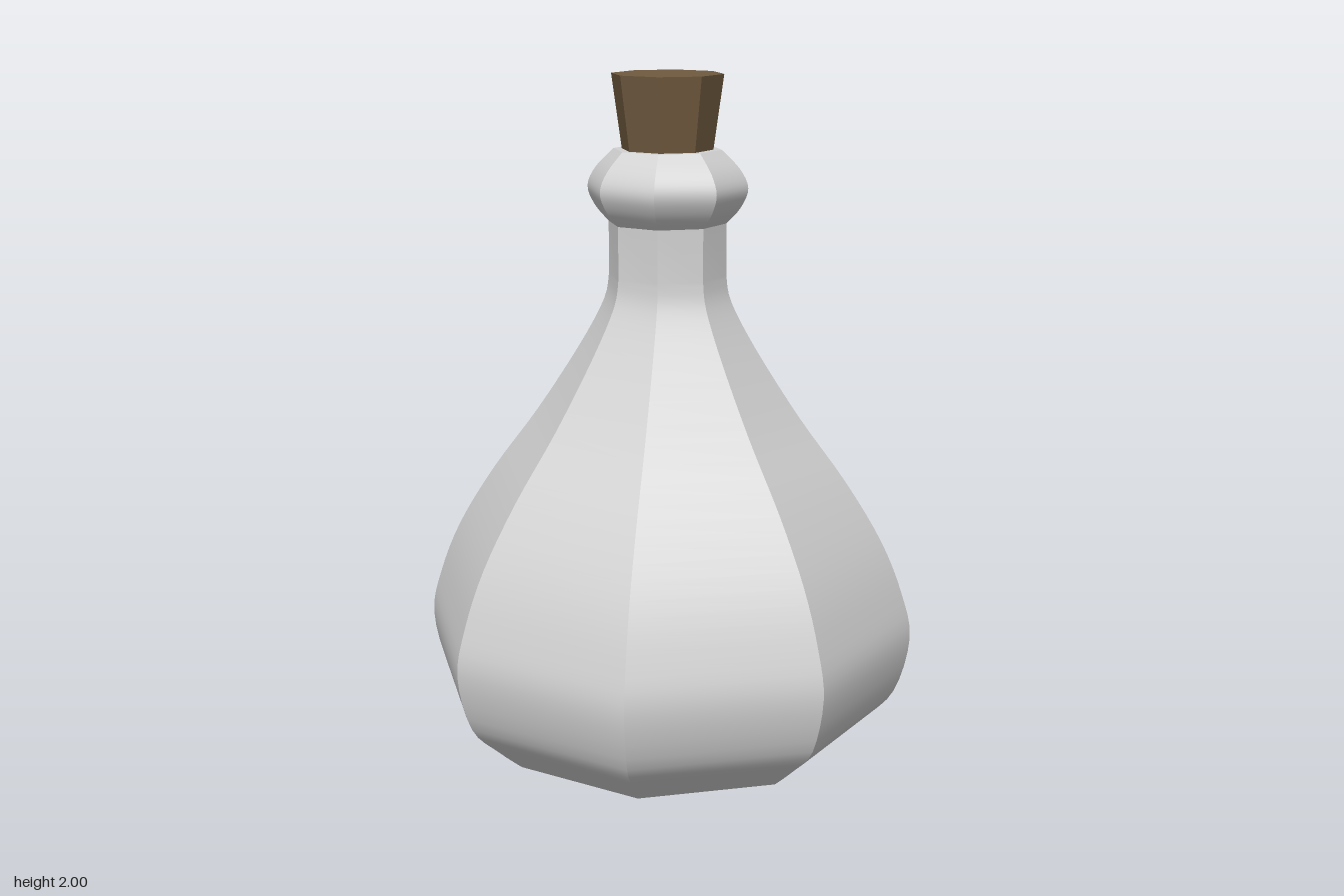
import * as THREE from 'three';
import { toCreasedNormals } from 'three/addons/utils/BufferGeometryUtils.js';

const SIDES = 8;
const CREASE = 0.5;

const points = (list) => list.map(([r, y]) => new THREE.Vector2(r, y));
const smooth = (list, n) => new THREE.SplineCurve(points(list)).getPoints(n);

// Eight-sided turned shape: smooth up the profile, sharp between the sides
function turned(name, profile, material) {
  const geometry = toCreasedNormals(new THREE.LatheGeometry(profile, SIDES), CREASE);
  const mesh = new THREE.Mesh(geometry, material);
  mesh.name = name;
  return mesh;
}

export function createModel() {
  const glass = new THREE.MeshStandardMaterial({ color: 0xd2d2d2 });
  glass.name = 'pale grey glass';
  const corkBrown = new THREE.MeshStandardMaterial({ color: 0x705a3f });
  corkBrown.name = 'cork brown';

  const group = new THREE.Group();
  group.name = 'bottle';

  // Flat base, swelling belly, tapering shoulder and straight neck
  const belly = smooth([
    [0.53, 0], [0.605, 0.065], [0.695, 0.16], [0.738, 0.33], [0.71, 0.47],
    [0.645, 0.63], [0.535, 0.81], [0.395, 1.0], [0.265, 1.2], [0.19, 1.34], [0.174, 1.42],
  ], 40);
  group.add(turned('body', [...points([[0, 0]]), ...belly, ...points([[0.174, 1.6]])], glass));

  // Rounded collar with a flat top
  const bulge = smooth([
    [0.174, 1.573], [0.215, 1.62], [0.236, 1.675], [0.212, 1.73], [0.158, 1.785],
  ], 16);
  group.add(turned('collar', [...bulge, ...points([[0.1, 1.785]])], glass));

  // Tapered stopper
  group.add(turned('stopper', points([[0, 1.7], [0.122, 1.7], [0.164, 2], [0, 2]]), corkBrown));

  return group;
}
